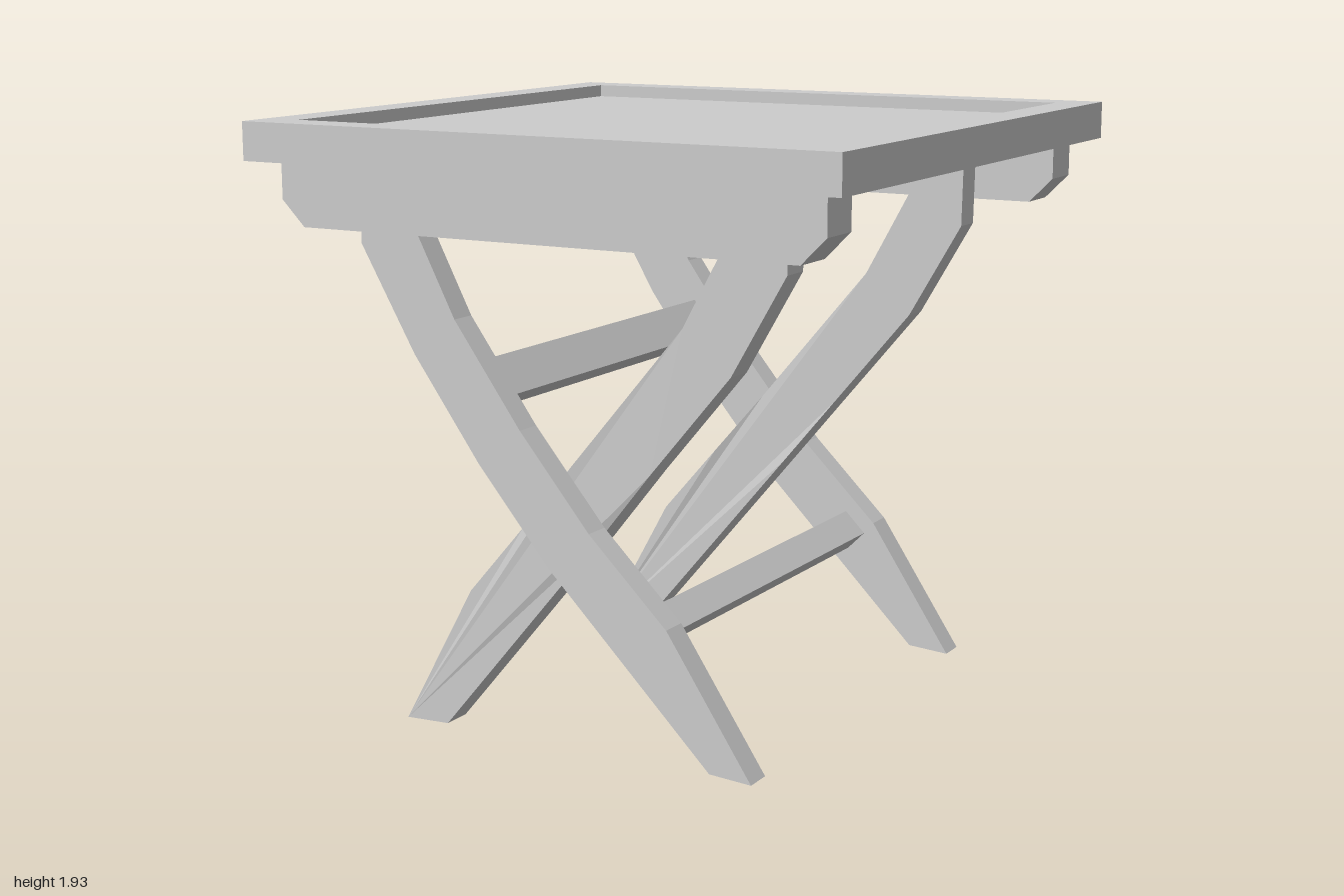
import * as THREE from 'three';

const material = new THREE.MeshStandardMaterial({ color: 0xcccccc, flatShading: true });

// Flat outline in x/y given thickness from z0 to z1
function slab(points, z0, z1) {
  const shape = new THREE.Shape(points.map(([x, y]) => new THREE.Vector2(x, y)));
  const geometry = new THREE.ExtrudeGeometry(shape, { depth: z1 - z0, bevelEnabled: false });
  return geometry.translate(0, 0, z0);
}

function add(group, name, geometry) {
  const mesh = new THREE.Mesh(geometry, material);
  mesh.name = name;
  group.add(mesh);
  return mesh;
}

const OUTER_LEG = [
  [-0.74, 1.81], [-0.74, 1.55], [-0.55, 1.22], [-0.32, 0.9], [-0.07, 0.6], [0.48, 0.05],
  [0.62, 0.04], [0.335, 0.47], [0.07, 0.73], [-0.17, 1.02], [-0.4, 1.34], [-0.57, 1.67], [-0.57, 1.81],
];
const INNER_LEG = [
  [0.685, 1.81], [0.68, 1.54], [0.5, 1.23], [0.23, 0.91], [0.04, 0.68], [-0.53, 0.005],
  [-0.685, 0], [-0.43, 0.46], [-0.23, 0.69], [-0.05, 0.9], [0.34, 1.36], [0.51, 1.67], [0.51, 1.81],
];
const APRON = [
  [-0.92, 1.81], [-0.92, 1.69], [-0.84, 1.61], [0.84, 1.61], [0.92, 1.69], [0.92, 1.81],
];

// The lower half of the inner leg steps slightly towards the middle
function innerLegGeometry() {
  const geometry = slab(INNER_LEG, 0.58, 0.68);
  const pos = geometry.attributes.position;
  for (let i = 0; i < pos.count; i++) {
    if (pos.getY(i) < 0.8) pos.setZ(i, pos.getZ(i) - 0.013);
  }
  geometry.computeVertexNormals();
  return geometry;
}

export function createModel() {
  const table = new THREE.Group();
  table.name = 'foldingTable';

  // Tray top: raised rim around a sunken panel
  const rim = new THREE.Shape([[-1, -1], [1, -1], [1, 1], [-1, 1]].map((p) => new THREE.Vector2(...p)));
  rim.holes.push(new THREE.Path(
    [[-0.88, -0.88], [-0.88, 0.88], [0.88, 0.88], [0.88, -0.88]].map((p) => new THREE.Vector2(...p))));
  const rimGeometry = new THREE.ExtrudeGeometry(rim, { depth: 0.12, bevelEnabled: false });
  add(table, 'topRim', rimGeometry.rotateX(-Math.PI / 2).translate(0, 1.81, 0));
  add(table, 'topPanel', new THREE.BoxGeometry(1.76, 0.08, 1.76).translate(0, 1.85, 0));

  // Aprons and crossed legs, front and back (turned round, then flipped in x)
  for (const [side, sign] of [['front', 1], ['back', -1]]) {
    const parts = {
      Apron: slab(APRON, 0.77, 0.92),
      OuterLeg: slab(OUTER_LEG, 0.68, 0.77),
      InnerLeg: innerLegGeometry(),
    };
    for (const [name, geometry] of Object.entries(parts)) {
      add(table, side + name, geometry).scale.z = sign;
    }
  }

  // Rungs joining the outer legs, tilted with the legs
  const rungs = [
    ['upperRung', -0.37, 1.12, 0.136, 0.086, -0.942],
    ['lowerRung', 0.235, 0.435, 0.1, 0.085, -0.785],
  ];
  for (const [name, x, y, width, thickness, tilt] of rungs) {
    const rung = add(table, name, new THREE.BoxGeometry(width, thickness, 1.36));
    rung.position.set(x, y, 0);
    rung.rotation.z = tilt;
  }

  return table;
}
